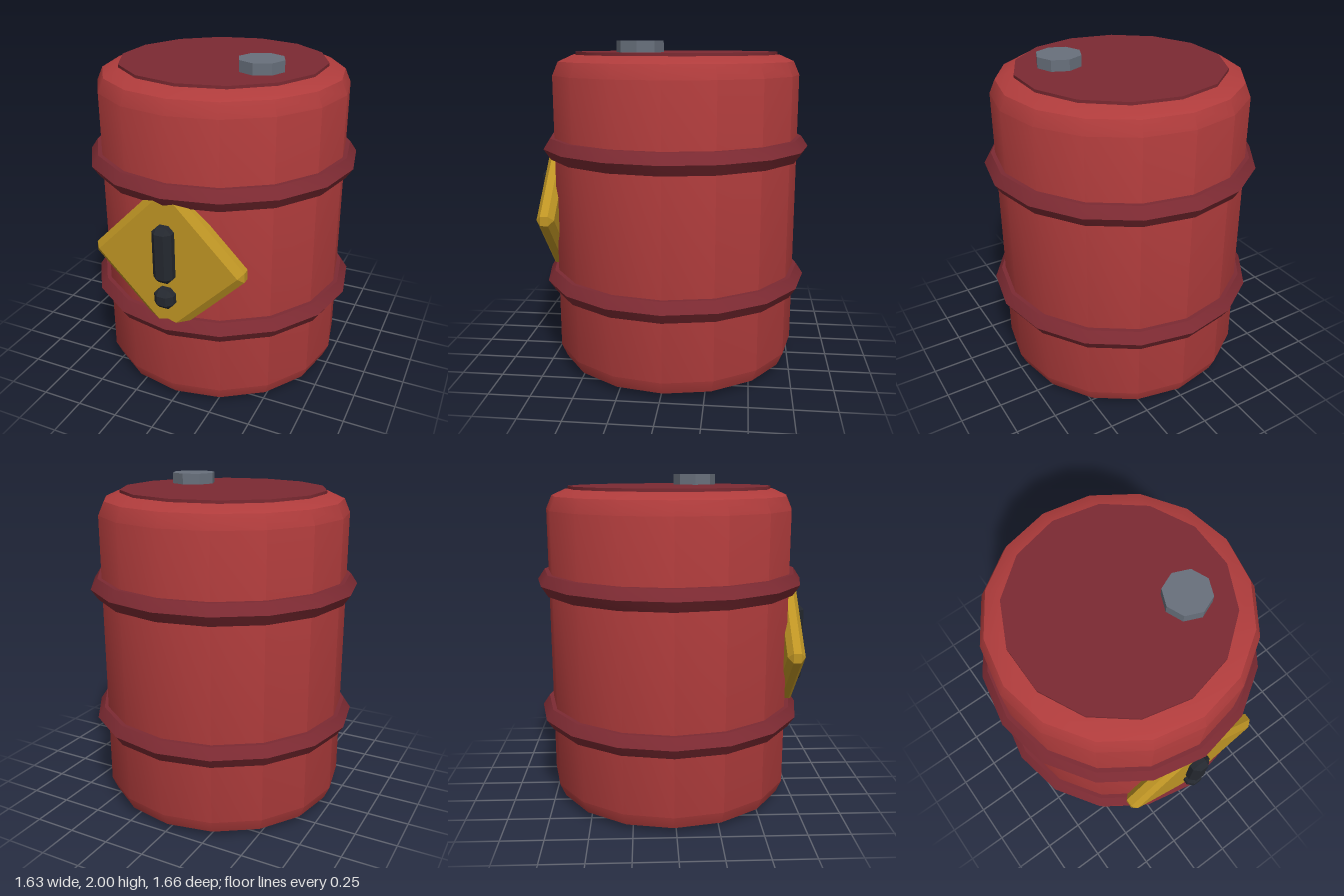
import * as THREE from 'three';
import { toCreasedNormals } from 'three/addons/utils/BufferGeometryUtils.js';
import { ConvexGeometry } from 'three/addons/geometries/ConvexGeometry.js';

const material = (color) => new THREE.MeshStandardMaterial({ color });

// Sixteen-sided turned part, smooth around and sharp at strong profile corners
function turned(profile) {
  const points = profile.map(([r, y]) => new THREE.Vector2(r, y));
  return toCreasedNormals(new THREE.LatheGeometry(points, 16), 0.52);
}

// Box with chamfered edges, given by half sizes and bevels across and in depth
function chamferBox(hx, hy, hz, b, bz = b) {
  const points = [];
  for (const x of [-1, 1]) for (const y of [-1, 1]) for (const z of [-1, 1]) {
    points.push(
      new THREE.Vector3(x * hx, y * (hy - b), z * (hz - bz)),
      new THREE.Vector3(x * (hx - b), y * hy, z * (hz - bz)),
      new THREE.Vector3(x * (hx - b), y * (hy - b), z * hz)
    );
  }
  return new ConvexGeometry(points);
}

export function createModel() {
  const group = new THREE.Group();
  const red = material(0xb03c3c);
  const darkRed = material(0x7c2a32);
  const yellow = material(0xbf9524);
  const black = material(0x24282f);
  const steel = material(0x68707c);
  const axisZ = -0.015;

  const add = (name, geometry, mat, x, y, z) => {
    const mesh = new THREE.Mesh(geometry, mat);
    mesh.name = name;
    mesh.position.set(x, y, z);
    group.add(mesh);
    return mesh;
  };

  // Barrel shell with bevelled ends
  add('barrelBody', turned([
    [0, 0], [0.63, 0], [0.715, 0.04], [0.75, 0.12],
    [0.75, 1.8], [0.715, 1.88], [0.63, 1.918], [0, 1.918]
  ]), red, 0, 0, axisZ);

  // Two protruding hoops
  for (const [name, y] of [['lowerHoop', 0.552], ['upperHoop', 1.37]]) {
    add(name, turned([
      [0.74, -0.063], [0.775, -0.063], [0.817, 0], [0.775, 0.063], [0.74, 0.063]
    ]), darkRed, 0, y, axisZ);
  }

  // Lid disc and filler cap
  const lid = new THREE.CylinderGeometry(0.615, 0.615, 0.05, 14);
  add('lid', toCreasedNormals(lid, 0.52), darkRed, 0, 1.91, axisZ);
  const cap = new THREE.CylinderGeometry(0.135, 0.135, 0.09, 8);
  add('fillerCap', toCreasedNormals(cap, 0.52), steel, 0.305, 1.955, 0.155);

  // Warning plate: a chamfered square turned onto its corner
  const plate = add('warningPlate', chamferBox(0.343, 0.343, 0.053, 0.04, 0.03),
    yellow, 0, 0.965, 0.7125);
  plate.rotation.z = Math.PI / 4;

  // Raised exclamation mark
  add('markBar', chamferBox(0.06, 0.17, 0.06, 0.033), black, 0, 1.03, 0.773);
  add('markDot', chamferBox(0.06, 0.06, 0.06, 0.033), black, 0, 0.757, 0.773);

  return group;
}
